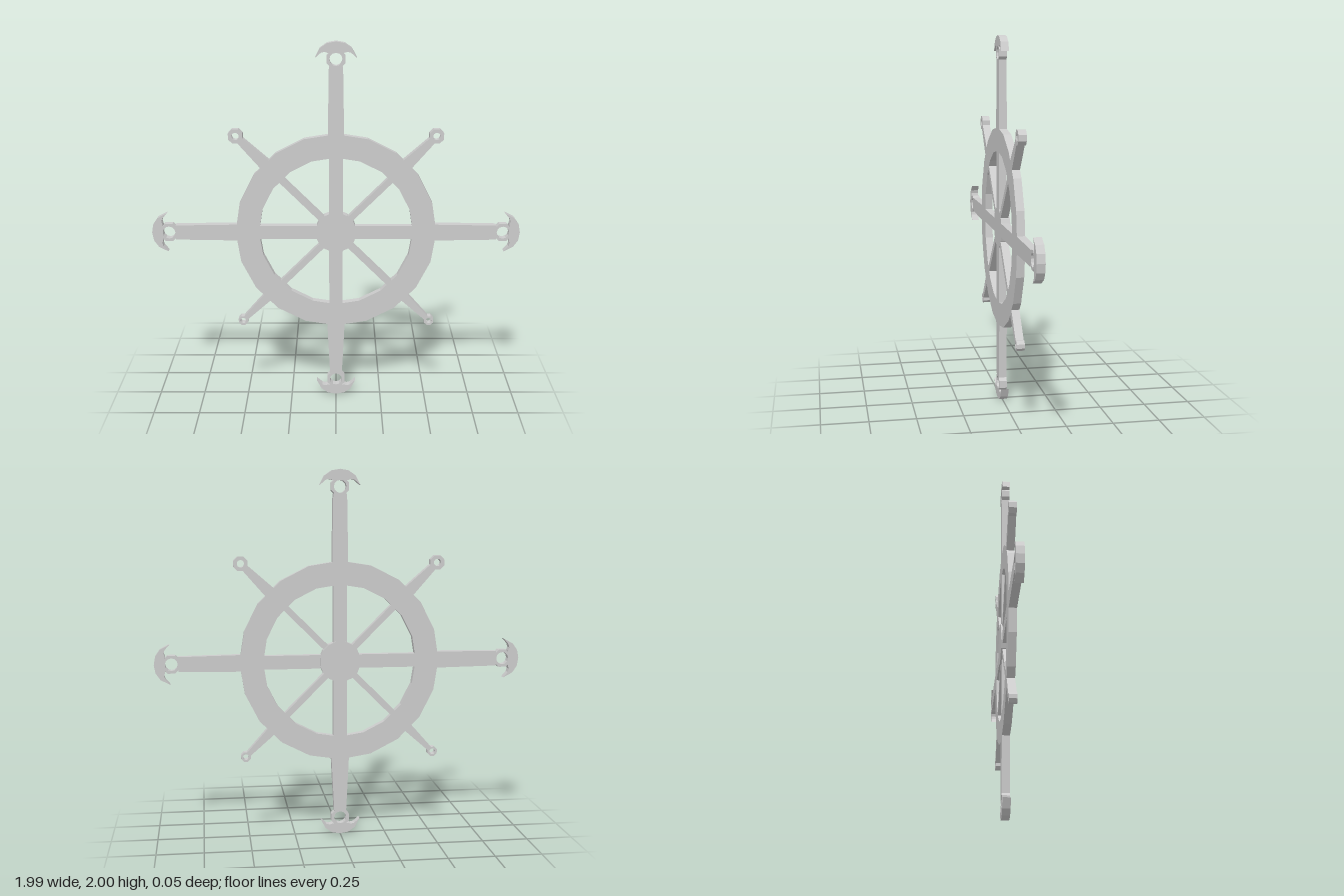
import * as THREE from 'three';

const DEPTH = 0.042;
const CENTRE_Y = 0.97;
const material = new THREE.MeshStandardMaterial({ color: 0xcccccc, flatShading: true, side: THREE.DoubleSide });

const points = (list) => list.map(([x, y]) => new THREE.Vector2(x, y));

const polygon = (radius, sides, turn = 0) =>
  Array.from({ length: sides }, (_, i) => {
    const a = turn + (i / sides) * Math.PI * 2;
    return [radius * Math.cos(a), radius * Math.sin(a)];
  });

// Flat plate cut from an outline, centred on z = 0
function plate(name, outline, hole, depth = DEPTH) {
  const shape = new THREE.Shape(points(outline));
  if (hole) shape.holes.push(new THREE.Path(points(hole)));
  const geometry = new THREE.ExtrudeGeometry(shape, { depth, bevelEnabled: false });
  geometry.translate(0, 0, -depth / 2);
  const mesh = new THREE.Mesh(geometry, material);
  mesh.name = name;
  return mesh;
}

// Bar along +y whose half width changes from w0 to w1
const bar = (name, y0, y1, w0, w1) =>
  plate(name, [[-w0, y0], [w0, y0], [w1, y1], [-w1, y1]]);

// Eyelet at the end of a spoke
function eyelet(name, y, outer, inner) {
  const mesh = plate(name, polygon(outer, 8, Math.PI / 8), polygon(inner, 12));
  mesh.position.y = y;
  return mesh;
}

// Hooked crescent that caps a main spoke
function crescent(y) {
  const half = [[0.045, 0.084], [0.082, 0.058], [0.108, 0.008], [0.078, 0.034], [0.06, 0.039], [0.04, 0.033]];
  const mirrored = half.map(([x, v]) => [-x, v]).reverse();
  const mesh = plate('anchorCrescent', [[0, 0.092], ...half, [0, 0.038], ...mirrored]);
  mesh.position.y = y;
  return mesh;
}

function mainSpoke(name, angle, eyeY, rootWidth, tipWidth) {
  const spoke = new THREE.Group();
  spoke.name = name;
  spoke.add(
    bar('innerSpoke', 0, 0.45, 0.037, 0.037),
    bar('outerArm', 0.48, eyeY - 0.036, rootWidth, tipWidth),
    eyelet('armEyelet', eyeY, 0.052, 0.034),
    crescent(eyeY)
  );
  spoke.rotation.z = angle;
  return spoke;
}

function diagonalSpoke(name, angle, eyeY, eyeRadius, holeRadius, rootWidth, tipWidth) {
  const spoke = new THREE.Group();
  spoke.name = name;
  spoke.add(
    bar('innerSpoke', 0, 0.45, 0.017, 0.017),
    bar('handle', 0.48, eyeY - holeRadius - 0.004, rootWidth, tipWidth),
    eyelet('handleEyelet', eyeY, eyeRadius, holeRadius)
  );
  spoke.rotation.z = angle;
  return spoke;
}

export function createModel() {
  const model = new THREE.Group();
  model.name = 'shipWheel';

  const wheel = new THREE.Group();
  wheel.name = 'wheel';
  wheel.position.y = CENTRE_Y;
  model.add(wheel);

  // Rim and hub
  wheel.add(plate('rim', polygon(0.544, 20), polygon(0.417, 20)));
  const hub = plate('hub', polygon(0.112, 16, Math.PI / 16), null, 0.05);
  hub.position.z = -0.004;
  wheel.add(hub);

  // Four main spokes with crescents
  wheel.add(
    mainSpoke('topSpoke', 0, 0.937, 0.044, 0.037),
    mainSpoke('bottomSpoke', Math.PI, 0.875, 0.051, 0.033),
    mainSpoke('leftSpoke', -Math.PI / 2, 0.905, 0.046, 0.04),
    mainSpoke('rightSpoke', Math.PI / 2, 0.905, 0.046, 0.04)
  );

  // Diagonal spokes, the lower pair slightly smaller
  for (const side of [-1, 1]) {
    wheel.add(
      diagonalSpoke('upperDiagonalSpoke', side * Math.PI / 4, 0.752, 0.041, 0.02, 0.035, 0.018),
      diagonalSpoke('lowerDiagonalSpoke', side * Math.PI * 0.75, 0.73, 0.028, 0.016, 0.028, 0.013)
    );
  }
  return model;
}
